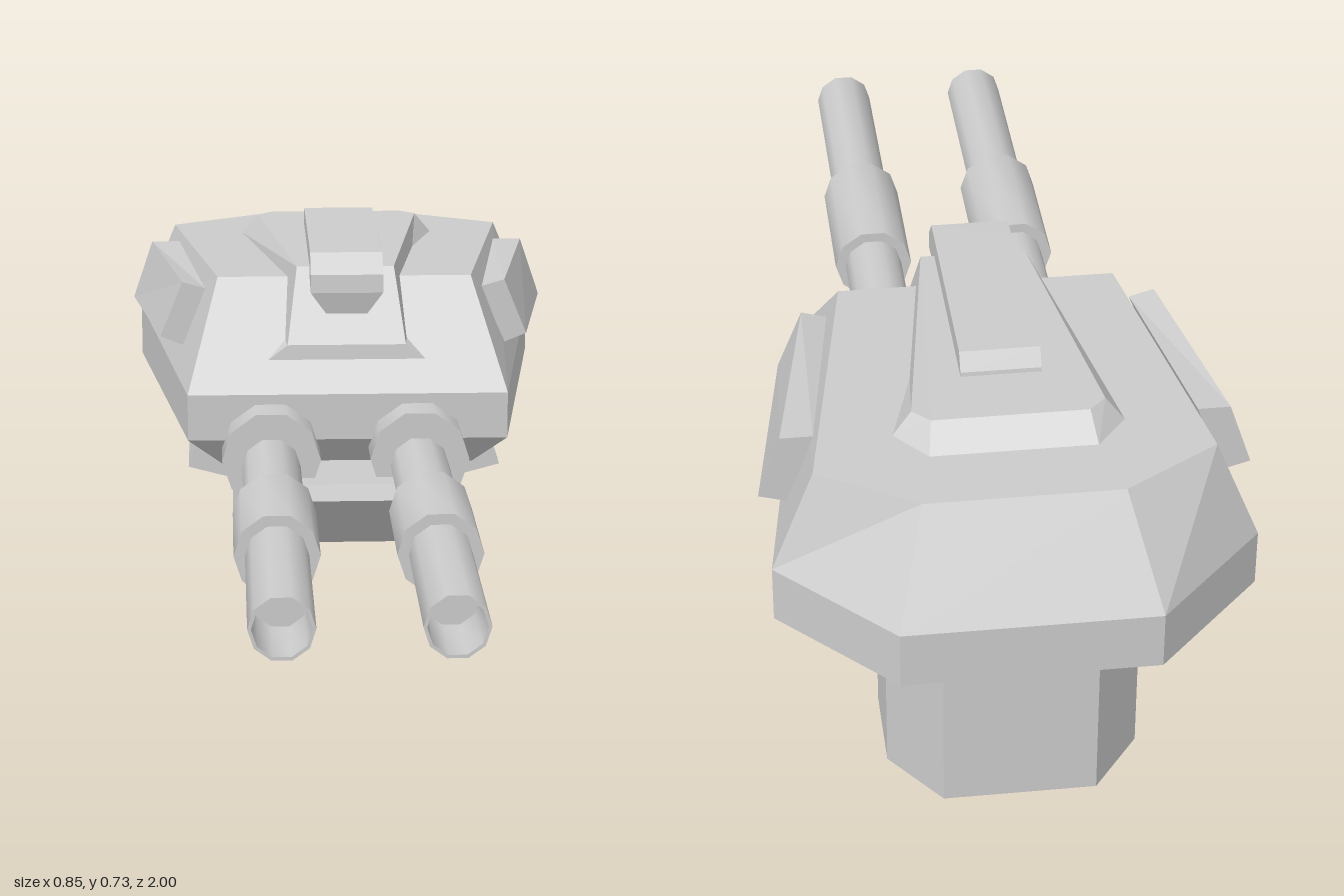
import * as THREE from 'three';
import { toCreasedNormals } from 'three/addons/utils/BufferGeometryUtils.js';

const flat = new THREE.MeshStandardMaterial({ color: 0xcccccc, flatShading: true });
const smooth = new THREE.MeshStandardMaterial({ color: 0xcccccc, side: THREE.DoubleSide });

// Skin a stack of rings (bottom to top, each counter-clockwise from above) and cap both ends
function loft(rings) {
  const out = [];
  const tri = (...p) => p.forEach(v => out.push(...v));
  const n = rings[0].length;
  for (let r = 0; r < rings.length - 1; r++) {
    for (let i = 0; i < n; i++) {
      const j = (i + 1) % n, lo = rings[r], hi = rings[r + 1];
      tri(lo[i], lo[j], hi[j]);
      tri(lo[i], hi[j], hi[i]);
    }
  }
  const low = rings[0], top = rings[rings.length - 1];
  for (let i = 1; i < n - 1; i++) {
    tri(top[0], top[i], top[i + 1]);
    tri(low[0], low[i + 1], low[i]);
  }
  const g = new THREE.BufferGeometry();
  g.setAttribute('position', new THREE.Float32BufferAttribute(out, 3));
  g.computeVertexNormals();
  return g;
}

const flip = ([x, y, z]) => [-x, y, z];
const mirrorRing = pts => pts.map(flip).reverse();
// Complete a ring from its left half, listed front to back
const symmetric = half => [...half, ...mirrorRing(half)];
// Level symmetric ring from [x, z] points
const level = (y, pts) => symmetric(pts.map(([x, z]) => [x, y, z]));

export function createModel() {
  const model = new THREE.Group();
  const add = (name, geometry, material = flat, parent = model) => {
    const m = new THREE.Mesh(geometry, material);
    m.name = name;
    parent.add(m);
    return m;
  };

  // Armoured housing
  const belt = [[0.31, -0.06], [0.415, -0.8], [0.22, -1]];
  add('turretHousing', loft([
    level(0.31, [[0.245, -0.11], [0.32, -0.77], [0.17, -0.92]]),
    level(0.37, belt),
    symmetric([[0.31, 0.46, -0.06], [0.415, 0.475, -0.8], [0.22, 0.475, -1]]),
    level(0.655, [[0.25, -0.24], [0.34, -0.78], [0.17, -0.885]]),
  ]));

  // Raised roof running down the sloped front, with a small ledge at its foot
  add('raisedRoof', loft([
    symmetric([[0.155, 0.515, -0.112], [0.2, 0.645, -0.69], [0.145, 0.645, -0.76]]),
    symmetric([[0.115, 0.545, -0.115], [0.198, 0.655, -0.69], [0.143, 0.655, -0.757]]),
    symmetric([[0.095, 0.685, -0.19], [0.165, 0.695, -0.68], [0.135, 0.695, -0.71]]),
  ]));

  // Sight box on the roof, tapering below its nose
  add('roofSight', loft([
    symmetric([[0.04, 0.607, -0.115], [0.04, 0.625, -0.18], [0.065, 0.685, -0.585]]),
    symmetric([[0.07, 0.65, -0.105], [0.07, 0.66, -0.2], [0.07, 0.69, -0.587]]),
    symmetric([[0.07, 0.685, -0.108], [0.07, 0.7, -0.2], [0.07, 0.7, -0.585]]),
    symmetric([[0.07, 0.722, -0.145], [0.07, 0.724, -0.2], [0.07, 0.73, -0.565]]),
  ]));

  // Side armour plates and lower side fins
  const plate = [
    [[0.365, 0.528, -0.275], [0.427, 0.525, -0.66], [0.375, 0.51, -0.66], [0.32, 0.51, -0.275]],
    [[0.32, 0.638, -0.275], [0.387, 0.643, -0.66], [0.33, 0.643, -0.66], [0.275, 0.625, -0.275]],
  ];
  const fin = [
    [[0.312, 0.265, -0.25], [0.312, 0.265, -0.51], [0.15, 0.222, -0.51], [0.15, 0.222, -0.25]],
    [[0.29, 0.33, -0.25], [0.29, 0.33, -0.51], [0.15, 0.3, -0.51], [0.15, 0.3, -0.25]],
  ];
  for (const [side, map] of [['left', r => r], ['right', mirrorRing]]) {
    add(side + 'ArmourPlate', loft(plate.map(map)));
    add(side + 'LowerFin', loft(fin.map(map)));
  }

  // Cradle under the guns and the pedestal
  add('gunCradle', loft([
    level(0.18, [[0.205, 0], [0.205, -0.7]]),
    level(0.285, [[0.178, 0.08], [0.178, -0.7]]),
    level(0.315, [[0.17, 0.07], [0.17, -0.7]]),
  ]));
  const foot = [[0.223, -0.6], [0.223, -0.765], [0.135, -0.88]];
  add('pedestal', loft([level(0, foot), level(0.32, foot)]));

  // Twin guns: [radius, z] profiles turned around the z axis
  const turned = profile => toCreasedNormals(
    new THREE.LatheGeometry(profile.map(([r, z]) => new THREE.Vector2(r, z)), 10)
      .rotateX(Math.PI / 2).rotateZ(Math.PI / 2), 0.7);
  const collar = turned([[0, -0.23], [0.095, -0.23], [0.095, 0.02], [0, 0.02]]);
  const barrel = turned([[0.056, -0.1], [0.056, 1], [0.05, 1], [0.048, 0.85], [0, 0.85]]);
  const sleeve = turned([[0.05, 0.33], [0.076, 0.33], [0.076, 0.6], [0.05, 0.6]]);
  for (const [name, x] of [['rightGun', -0.15], ['leftGun', 0.135]]) {
    const gun = new THREE.Group();
    gun.name = name;
    gun.position.set(x, 0.338, 0);
    add('collar', collar, smooth, gun).position.y = 0.012;
    add('barrel', barrel, smooth, gun);
    add('sleeve', sleeve, smooth, gun);
    model.add(gun);
  }
  return model;
}
